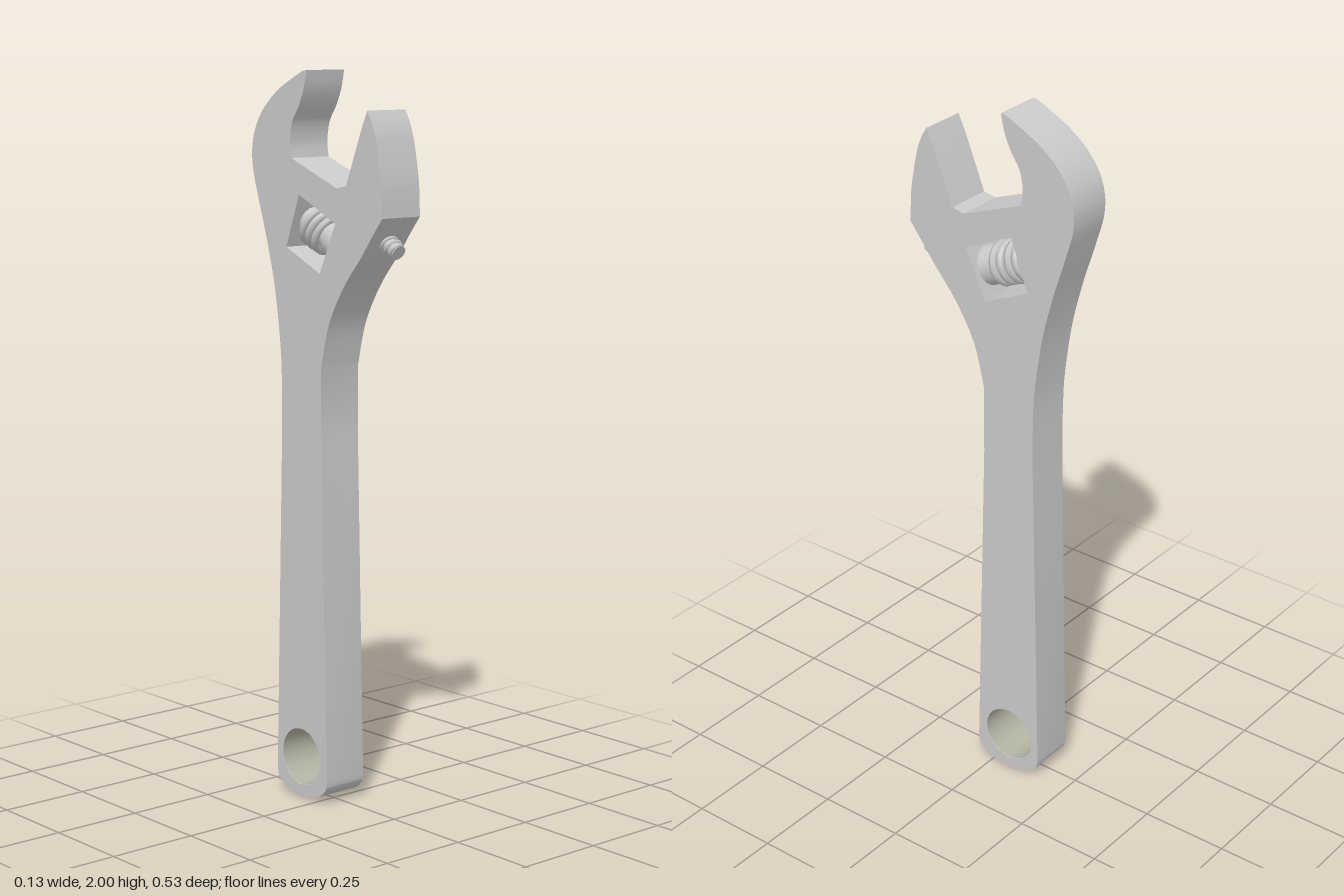
import * as THREE from 'three';
import { toCreasedNormals } from 'three/addons/utils/BufferGeometryUtils.js';

const THICK = 0.132;
const mat = (name, color, side = THREE.FrontSide) => {
  const m = new THREE.MeshStandardMaterial({ color, side });
  m.name = name;
  return m;
};
const vecs = (pts) => pts.map(([x, y]) => new THREE.Vector2(x, y));

// Flat plate from a side profile, centred on the extrusion axis
function plate(shape) {
  const g = new THREE.ExtrudeGeometry(shape, { depth: THICK, bevelEnabled: false, curveSegments: 12 });
  g.translate(0, 0, -THICK / 2);
  return toCreasedNormals(g, 0.5);
}

// Helical thread around the y axis
class Helix extends THREE.Curve {
  constructor(radius, y0, y1, turns) {
    super();
    Object.assign(this, { radius, y0, y1, turns });
  }
  getPoint(t, target = new THREE.Vector3()) {
    const a = t * this.turns * Math.PI * 2;
    return target.set(
      Math.cos(a) * this.radius,
      this.y0 + (this.y1 - this.y0) * t,
      Math.sin(a) * this.radius
    );
  }
}

export function createModel() {
  const steel = mat('steel', 0xcacaca);
  const lining = mat('dull lining', 0xb4b4a4, THREE.DoubleSide);

  const model = new THREE.Group();
  model.name = 'adjustableWrench';
  // Profiles are drawn in the side plane, then turned to face +x
  const side = new THREE.Group();
  side.name = 'wrenchParts';
  side.rotation.y = Math.PI / 2;
  model.add(side);
  const add = (parent, name, geo, material = steel) => {
    const m = new THREE.Mesh(geo, material);
    m.name = name;
    parent.add(m);
    return m;
  };

  // Handle, neck and fixed jaw in one outline
  const body = new THREE.Shape();
  body.moveTo(-0.048, 0.07);
  body.splineThru(vecs([[-0.043, 0.045], [-0.019, 0.022], [0.02, 0.006], [0.056, 0],
    [0.095, 0.006], [0.135, 0.022], [0.159, 0.045], [0.164, 0.07]]));
  body.lineTo(0.14, 1.014);
  body.splineThru(vecs([[0.14, 1.157], [0.146, 1.263], [0.167, 1.406], [0.199, 1.533],
    [0.236, 1.65], [0.262, 1.745], [0.257, 1.82], [0.22, 1.888], [0.151, 1.947], [0.05, 1.998]]));
  body.lineTo(0.034, 2.0);
  body.splineThru(vecs([[0.045, 1.952], [0.066, 1.905], [0.093, 1.862], [0.103, 1.81], [0.098, 1.767]]));
  body.lineTo(-0.087, 1.695);
  body.lineTo(-0.267, 1.625);
  body.lineTo(-0.225, 1.572);
  body.splineThru(vecs([[-0.188, 1.523], [-0.114, 1.433], [-0.056, 1.33], [-0.024, 1.21]]));
  body.lineTo(-0.024, 1.02);
  body.lineTo(-0.048, 0.07);

  // Hanging hole and worm window
  const hole = new THREE.Path();
  hole.absarc(0.061, 0.117, 0.08, 0, Math.PI * 2, true);
  const win = new THREE.Path(vecs([[-0.082, 1.602], [0.066, 1.671], [0.119, 1.528], [-0.019, 1.465]]));
  win.closePath();
  body.holes.push(hole, win);
  add(side, 'handleAndFixedJaw', plate(body));

  const liner = add(side, 'hangingHoleLining',
    new THREE.CylinderGeometry(0.079, 0.079, THICK - 0.002, 40, 1, true), lining);
  liner.rotation.x = Math.PI / 2;
  liner.position.set(0.061, 0.117, 0);

  // Movable jaw
  const jaw = new THREE.Shape();
  jaw.moveTo(-0.267, 1.625);
  jaw.lineTo(-0.087, 1.695);
  jaw.lineTo(-0.125, 1.702);
  jaw.lineTo(-0.188, 1.857);
  jaw.lineTo(-0.209, 1.9);
  jaw.splineThru(vecs([[-0.228, 1.865], [-0.243, 1.82], [-0.262, 1.72], [-0.267, 1.625]]));
  add(side, 'movableJaw', plate(jaw));

  // Worm screw: smooth hub, core and thread
  const worm = new THREE.Group();
  worm.name = 'wormScrew';
  worm.position.set(0.019, 1.567, 0);
  worm.rotation.z = -Math.PI / 2 + 0.4;
  side.add(worm);
  add(worm, 'wormCore', new THREE.CylinderGeometry(0.042, 0.042, 0.155, 24));
  add(worm, 'wormHub', new THREE.CylinderGeometry(0.05, 0.055, 0.045, 24)).position.y = -0.05;
  add(worm, 'wormThread', new THREE.TubeGeometry(new Helix(0.052, -0.028, 0.066, 3.5), 112, 0.011, 6));

  // Small threaded retaining pin below the movable jaw
  const pin = new THREE.Group();
  pin.name = 'retainingPin';
  pin.position.set(-0.215, 1.557, 0);
  pin.rotation.z = Math.PI / 2 + 0.5;
  side.add(pin);
  add(pin, 'pinCore', new THREE.CylinderGeometry(0.021, 0.021, 0.1, 16));
  add(pin, 'pinThread', new THREE.TubeGeometry(new Helix(0.021, -0.045, 0.045, 5), 80, 0.006, 5));

  return model;
}
